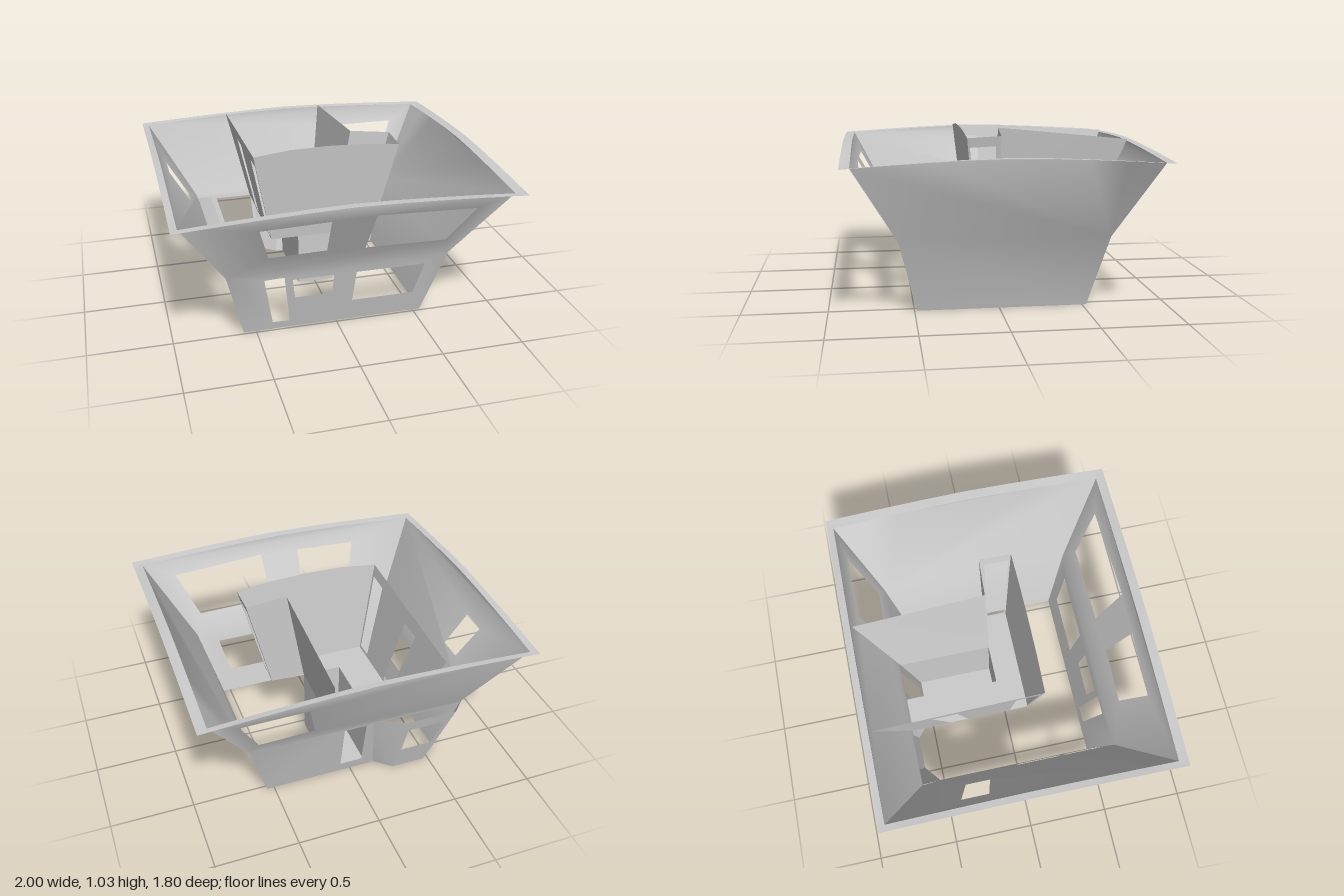
import * as THREE from 'three';
import { mergeGeometries, toCreasedNormals } from 'three/addons/utils/BufferGeometryUtils.js';

const material = new THREE.MeshStandardMaterial({ color: 0xcccccc, side: THREE.DoubleSide });
const MID = 0.44, TOP = 0.9, STEPS = 8;

// Flat outline with holes, carried into space by place(u, v)
function sheet(outline, holes, place) {
  const toPoints = list => list.map(p => new THREE.Vector2(p[0], p[1]));
  const shape = new THREE.Shape(toPoints(outline));
  shape.holes = holes.map(h => new THREE.Path(toPoints(h)));
  const geometry = new THREE.ShapeGeometry(shape);
  const pos = geometry.attributes.position;
  for (let i = 0; i < pos.count; i++) pos.setXYZ(i, ...place(pos.getX(i), pos.getY(i)));
  geometry.deleteAttribute('uv');
  geometry.computeVertexNormals();
  return geometry;
}

// Sheet stretched between four corners; outline and holes in 0..1
const UNIT = [[0, 0], [1, 0], [1, 1], [0, 1]];
const rect = (u0, u1, v0, v1) => [[u0, v0], [u1, v0], [u1, v1], [u0, v1]];
function quad(a, b, c, d, holes = [], outline = UNIT) {
  return sheet(outline, holes, (u, v) => [0, 1, 2].map(i =>
    (a[i] * (1 - u) + b[i] * u) * (1 - v) + (d[i] * (1 - u) + c[i] * u) * v));
}

// Flared hull: offset of each side at ground, waist and top
const HULL = {
  left: [0.545, 0.67, 0.94], right: [-0.575, -0.685, -0.96],
  front: [0.485, 0.592, 0.845], back: [-0.525, -0.635, -0.86],
};
function offset(side, y) {
  const [a, b, c] = HULL[side];
  if (y <= MID) return a + (b - a) * y / MID;
  return b + (c - b) * (Math.min(y, TOP) - MID) / (TOP - MID);
}
const arch = t => TOP + 0.042 * (1 - Math.pow(Math.abs(t), 1.5));

// One hull wall: straight lower half and flared upper half with arched top
function hullWall(side, lowHoles, highHoles, lowOutline) {
  const alongX = side === 'front' || side === 'back';
  const [s0, s1] = alongX ? ['right', 'left'] : ['back', 'front'];
  const place = (u, y) => alongX ? [u, y, offset(side, y)] : [offset(side, y), y, u];
  const low = lowOutline || [[offset(s0, 0), 0], [offset(s1, 0), 0], [offset(s1, MID), MID], [offset(s0, MID), MID]];
  const high = [[offset(s0, MID), MID], [offset(s1, MID), MID]];
  for (let i = 0; i <= STEPS; i++) {
    const t = i / STEPS;
    high.push([THREE.MathUtils.lerp(offset(s1, TOP), offset(s0, TOP), t), arch(2 * t - 1)]);
  }
  const merged = mergeGeometries([sheet(low, lowHoles, place), sheet(high, highHoles, place)]);
  return toCreasedNormals(merged, 0.6);
}

// Flat arched flange around the top of the hull
function rimGeometry() {
  const inner = [[-0.96, 0.845], [0.94, 0.845], [0.94, -0.86], [-0.96, -0.86]];
  const outer = [[-1, 0.9], [1, 0.9], [1, -0.9], [-1, -0.9]];
  const positions = [], index = [];
  for (let s = 0; s < 4; s++) {
    for (let i = 0; i < STEPS; i++) {
      const t = i / STEPS;
      for (const [ring, lift] of [[inner, 0], [outer, 0.003]]) {
        const p = ring[s], q = ring[(s + 1) % 4];
        positions.push(p[0] + (q[0] - p[0]) * t, arch(2 * t - 1) + lift, p[1] + (q[1] - p[1]) * t);
      }
    }
  }
  const n = 4 * STEPS;
  for (let i = 0; i < n; i++) {
    const a = 2 * i, b = 2 * ((i + 1) % n);
    index.push(a, a + 1, b + 1, a, b + 1, b);
  }
  const geometry = new THREE.BufferGeometry();
  geometry.setAttribute('position', new THREE.Float32BufferAttribute(positions, 3));
  geometry.setIndex(index);
  geometry.computeVertexNormals();
  return geometry;
}

export function createModel() {
  const model = new THREE.Group();
  const add = (name, geometry, parent = model) => {
    const mesh = new THREE.Mesh(geometry, material);
    mesh.name = name;
    parent.add(mesh);
  };
  const group = name => {
    const g = new THREE.Group();
    g.name = name;
    model.add(g);
    return g;
  };

  // Outer walls with window openings
  const hull = group('outerWalls');
  add('frontWall', hullWall('front', [
    [[-0.4, 0.055], [-0.295, 0.05], [-0.34, 0.395], [-0.46, 0.39]],
    [[-0.27, 0.23], [-0.04, 0.23], [-0.04, 0.37], [-0.29, 0.37]],
    [[0.09, 0.15], [0.48, 0.15], [0.53, 0.37], [0.1, 0.37]],
  ], [
    [[-0.45, 0.58], [-0.11, 0.59], [-0.12, 0.83], [-0.52, 0.815]],
    [[0.12, 0.575], [0.62, 0.56], [0.74, 0.81], [0.14, 0.84]],
  ]), hull);
  add('rightWall', hullWall('right', [
    [[-0.02, 0.15], [0.26, 0.15], [0.27, 0.36], [-0.02, 0.36]],
    [[0.29, 0.15], [0.49, 0.15], [0.535, 0.36], [0.29, 0.36]],
  ], [
    [[-0.37, 0.575], [-0.22, 0.575], [-0.25, 0.785], [-0.415, 0.785]],
  ]), hull);
  add('leftWall', hullWall('left', [], []), hull);
  add('backWall', hullWall('back', [
    [[-0.07, 0.07], [0.07, 0.07], [0.08, 0.42], [-0.06, 0.42]],
  ], [
    [[0.285, 0.53], [0.62, 0.52], [0.76, 0.805], [0.36, 0.805]],
  ], [[-0.16, 0], [0.545, 0], [0.67, MID], [-0.685, MID], [offset('right', 0.42), 0.42], [-0.11, 0.42]]), hull);
  add('topRim', rimGeometry(), hull);

  // Open-topped bay on the back corner
  const bay = group('bay');
  const low = [[-0.575, 0, -0.525], [-0.47, 0, -0.61], [-0.26, 0, -0.61], [-0.16, 0, -0.525]];
  const high = [[-0.685, 0.455, -0.64], [-0.6, 0.455, -0.73], [-0.28, 0.455, -0.73], [-0.1, 0.455, -0.64]];
  for (let i = 0; i < 3; i++) {
    const holes = i === 1 ? [rect(0.12, 0.92, 0.38, 0.82)] : [];
    add('bayPanel', quad(low[i], low[i + 1], high[i + 1], high[i], holes), bay);
  }

  // Leaning upper room, L-shaped in plan
  const room = group('upperRoom');
  const F = 0.42;
  add('roomRightWall', quad([-0.32, F, -0.625], [-0.32, F, 0.12], [-0.43, 1.0, 0.18], [-0.43, 0.95, -0.84],
    [rect(0.33, 0.48, 0.03, 0.85), rect(0.84, 0.98, 0.03, 0.88)]), room);
  add('roomFrontWall', quad([-0.32, F, 0.12], [0.34, F, 0.12], [0.48, 1.0, 0.18], [-0.43, 1.0, 0.18], [],
    [[0, 0], [1, 0], [1, 1], [0.75, 1.04], [0.5, 1.055], [0.25, 1.045], [0, 1]]), room);
  add('roomLeftEnd', quad([0.34, F, 0.12], [0.34, F, -0.025], [0.48, 1.01, -0.02], [0.48, 1.0, 0.18],
    [rect(0.06, 0.84, 0.03, 0.9)]), room);
  add('roomReturnWall', quad([0.34, F, -0.025], [0.13, F, -0.035], [0.23, 1.035, -0.035], [0.48, 1.01, -0.02]), room);
  add('roomLeftWall', quad([0.13, F, -0.035], [0.13, F, -0.625], [0.23, 0.955, -0.845], [0.23, 1.035, -0.035]), room);
  add('roomFloor', sheet([[-0.32, -0.625], [-0.11, -0.625], [-0.11, -0.04], [0.13, -0.04], [0.34, -0.025], [0.34, 0.12], [-0.32, 0.12]],
    [], (x, z) => [x, F, z]), room);

  // Stairwell below the room, entered through the back door
  const well = group('stairwell');
  for (const x of [-0.11, 0.13]) {
    add('stairwellSide', quad([x, 0, -0.04], [x, 0, -0.525], [x, F, -0.625], [x, F, -0.04]), well);
  }
  add('stairwellFront', quad([-0.11, 0, -0.04], [0.13, 0, -0.04], [0.13, F, -0.04], [-0.11, F, -0.04]), well);
  add('stairwellFloor', quad([-0.11, 0, -0.04], [0.13, 0, -0.04], [0.13, 0, -0.525], [-0.11, 0, -0.525]), well);

  return model;
}
